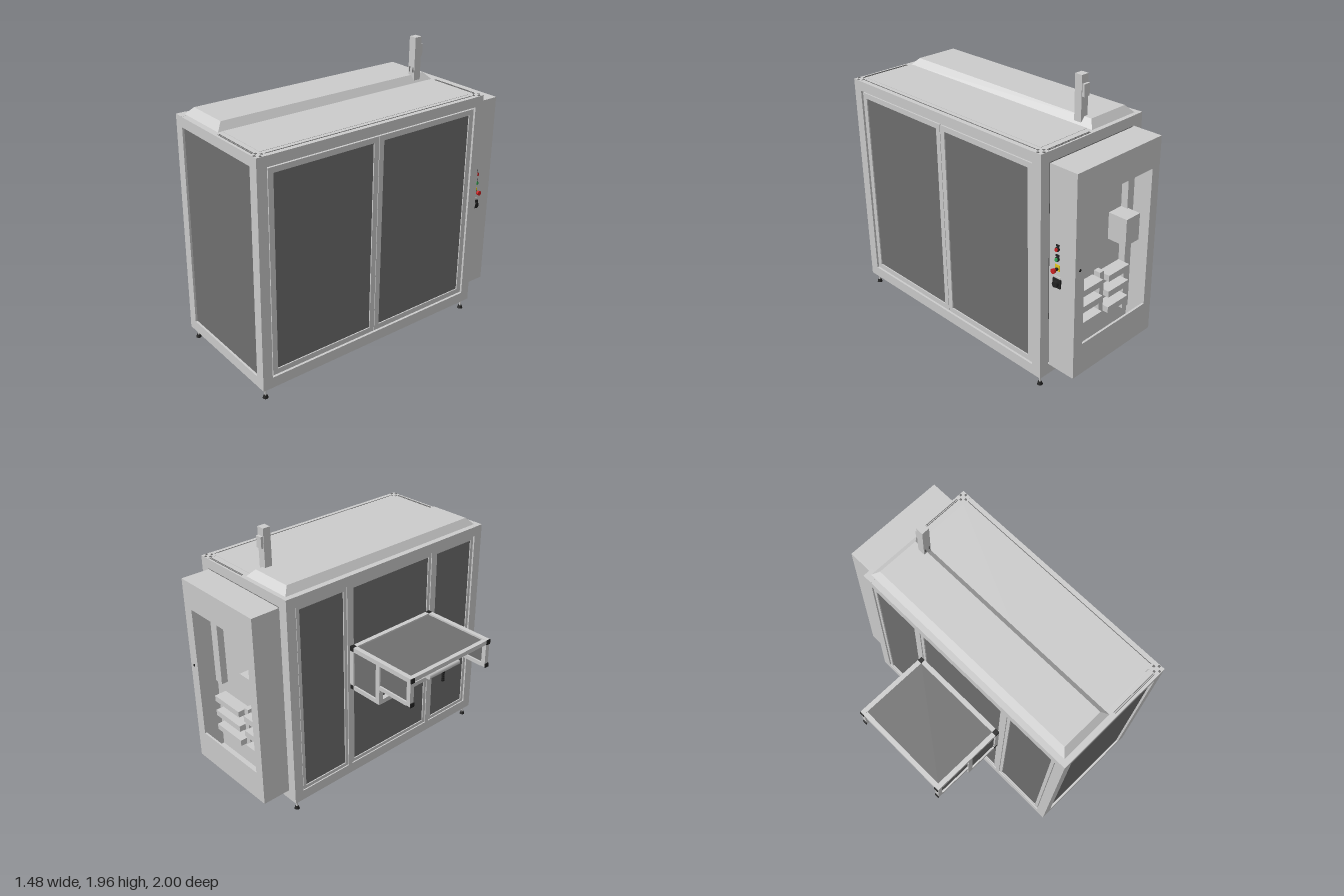
import * as THREE from 'three';

const mat = (c) => new THREE.MeshStandardMaterial({ color: c });
const GREY = mat(0xcccccc), DARK = mat(0x6f6f6f), BLACK = mat(0x222222);
const RED = mat(0xcc2222), GREEN = mat(0x33aa55), YELLOW = mat(0xe6c81e);

// box from its low and high limits on each axis
function box(parent, name, [x0, x1], [y0, y1], [z0, z1], m = GREY) {
  const mesh = new THREE.Mesh(new THREE.BoxGeometry(x1 - x0, y1 - y0, z1 - z0), m);
  mesh.position.set((x0 + x1) / 2, (y0 + y1) / 2, (z0 + z1) / 2);
  mesh.name = name;
  parent.add(mesh);
  return mesh;
}

function cyl(parent, name, r0, r1, h, [x, y, z], axis, m = GREY) {
  const g = new THREE.CylinderGeometry(r0, r1, h, 20);
  if (axis === 'x') g.rotateZ(-Math.PI / 2);
  if (axis === 'z') g.rotateX(Math.PI / 2);
  const mesh = new THREE.Mesh(g, m);
  mesh.position.set(x, y, z);
  mesh.name = name;
  parent.add(mesh);
  return mesh;
}

function group(parent, name) {
  const g = new THREE.Group();
  g.name = name;
  parent.add(g);
  return g;
}

// framed dark panel lying in a plane of constant x
function door(parent, name, x, [y0, y1], [z0, z1], w) {
  const g = group(parent, name), t = [x - 0.012, x + 0.012];
  box(g, 'stile', t, [y0, y1], [z0, z0 + w]);
  box(g, 'stile', t, [y0, y1], [z1 - w, z1]);
  box(g, 'rail', t, [y0, y0 + w], [z0 + w, z1 - w]);
  box(g, 'rail', t, [y1 - w, y1], [z0 + w, z1 - w]);
  box(g, 'panel', [x - 0.004, x + 0.004], [y0 + w, y1 - w], [z0 + w, z1 - w], DARK);
}

function buildHousing(root) {
  const g = group(root, 'housing');
  const X = [[-0.17, -0.1], [0.665, 0.735]], Z = [[-0.79, -0.72], [0.93, 1]];
  const Y = [[0.08, 0.155], [1.575, 1.644]];
  // posts, beams and levelling feet
  for (const x of X) for (const z of Z) {
    box(g, 'cornerPost', x, [0.08, 1.645], z);
    const cx = x[0] < 0 ? -0.135 : 0.7, cz = z[0] < 0 ? -0.755 : 0.965;
    cyl(g, 'footRod', 0.006, 0.006, 0.07, [cx, 0.05, cz]);
    cyl(g, 'footPad', 0.012, 0.019, 0.02, [cx, 0.01, cz], 'y', BLACK);
  }
  for (const y of Y) {
    for (const x of X) box(g, 'sideBeam', x, y, [-0.72, 0.93]);
    for (const z of Z) box(g, 'endBeam', [-0.1, 0.665], y, z);
  }
  // end panels
  box(g, 'frontPanel', [-0.1, 0.665], [0.155, 1.575], [0.975, 0.985], DARK);
  box(g, 'backPanel', [-0.1, 0.665], [0.155, 1.575], [-0.775, -0.765], DARK);
  // two doors on the left, three bays on the right
  door(g, 'sideDoor', 0.715, [0.163, 1.563], [0.105, 0.92], 0.037);
  door(g, 'sideDoor', 0.715, [0.163, 1.563], [-0.712, 0.101], 0.037);
  for (const z of [[-0.712, -0.3], [-0.265, 0.485], [0.52, 0.922]])
    door(g, 'rightBay', -0.152, [0.158, 1.572], z, 0.025);
  for (const z of [-0.2825, 0.5025])
    box(g, 'bayPost', [-0.17, -0.12], [0.155, 1.575], [z - 0.0165, z + 0.0165]);
  // floor panels and lengthwise bearers
  box(g, 'floorPanel', [-0.1, 0.665], [0.105, 0.113], [-0.72, 0.93], DARK);
  box(g, 'floorBearer', [0.2, 0.27], [0.085, 0.105], [-0.72, 0.93]);
  box(g, 'floorBearer', [0.39, 0.405], [0.09, 0.105], [-0.72, 0.93]);
  // roof plate, grooves and post ends
  box(g, 'roofPlate', [-0.1, 0.665], [1.636, 1.646], [-0.72, 0.93]);
  box(g, 'roofGroove', [0.698, 0.702], [1.64, 1.6465], [-0.71, 0.92], DARK);
  for (const z of [-0.775, -0.765, 0.97, 0.98])
    box(g, 'roofGroove', [0.3, 0.66], [1.64, 1.6465], [z - 0.002, z + 0.002], DARK);
  for (const z of [-0.755, 0.965]) for (const a of [0, 1, 2, 3]) {
    const s = box(g, 'postEndSlot', [-0.007, 0.007], [1.64, 1.6475], [-0.007, 0.007], DARK);
    s.position.x = 0.7 + 0.024 * Math.cos(a * Math.PI / 2);
    s.position.z = z + 0.024 * Math.sin(a * Math.PI / 2);
  }
  // chamfered roof hood: a box with its top face drawn in
  const hood = box(g, 'roofHood', [-0.13, 0.27], [1.645, 1.693], [-0.76, 0.96]);
  const p = hood.geometry.attributes.position;
  for (let i = 0; i < p.count; i++) if (p.getY(i) > 0) {
    p.setX(i, p.getX(i) - Math.sign(p.getX(i)) * 0.043);
    p.setZ(i, p.getZ(i) - Math.sign(p.getZ(i)) * 0.045);
  }
  hood.geometry.computeVertexNormals();
  // mast
  box(g, 'mast', [0.2, 0.258], [1.66, 1.96], [-0.66, -0.605]);
  box(g, 'mastBox', [0.205, 0.253], [1.825, 1.905], [-0.677, -0.66]);
  for (const x of [0.212, 0.246])
    box(g, 'mastBolt', [x - 0.005, x + 0.005], [1.715, 1.75], [-0.607, -0.602], DARK);
}

function buildCabinet(root) {
  const g = group(root, 'controlCabinet');
  const x0 = -0.1, x1 = 0.66, y0 = 0.155, y1 = 1.57;
  const rect = (s, a, b, c, d) => s.moveTo(a, c).lineTo(b, c).lineTo(b, d).lineTo(a, d).closePath();
  // back face with a window
  const face = rect(new THREE.Shape(), x0, x1, y0, y1);
  face.holes.push(rect(new THREE.Path(), -0.03, 0.58, 0.38, 1.37));
  const geo = new THREE.ExtrudeGeometry(face, { depth: 0.015, bevelEnabled: false });
  const door = new THREE.Mesh(geo, GREY);
  door.position.z = -1;
  door.name = 'cabinetDoor';
  g.add(door);
  // shell
  const z = [-0.985, -0.79];
  for (const x of [[x0, x0 + 0.01], [x1 - 0.01, x1]]) box(g, 'cabinetSide', x, [y0, y1], z);
  for (const y of [[y0, y0 + 0.01], [y1 - 0.01, y1]]) box(g, 'cabinetCap', [x0 + 0.01, x1 - 0.01], y, z);
  box(g, 'mountingPlate', [x0 + 0.01, x1 - 0.01], [y0 + 0.01, y1 - 0.01], [-0.81, -0.79]);
  cyl(g, 'doorLock', 0.009, 0.009, 0.008, [0.62, 0.93, -1], 'z', BLACK);
  // wiring ducts, drive box and shelf modules
  box(g, 'duct', [0.52, 0.59], [0.76, 1.42], [-0.86, -0.81]);
  box(g, 'duct', [-0.04, 0.02], [0.3, 1.42], [-0.86, -0.81]);
  box(g, 'duct', [-0.04, 0.59], [1.38, 1.43], [-0.86, -0.81]);
  box(g, 'driveBox', [0.01, 0.14], [0.87, 1.06], [-0.955, -0.81]);
  for (const y of [0.38, 0.5, 0.62]) {
    box(g, 'shelfModule', [0.28, 0.56], [y, y + 0.045], [-0.9, -0.81]);
    box(g, 'shelfModule', [0.02, 0.22], [y, y + 0.045], [-0.9, -0.81]);
  }
  box(g, 'duct', [0.225, 0.265], [0.34, 0.69], [-0.86, -0.81]);
  // operator controls on the left wall
  const cz = -0.86;
  for (const [y, m] of [[1.035, RED], [0.967, GREEN]]) {
    cyl(g, 'buttonRing', 0.015, 0.015, 0.012, [x1 + 0.006, y, cz], 'x', BLACK);
    cyl(g, 'button', 0.011, 0.011, 0.02, [x1 + 0.01, y, cz], 'x', m);
    box(g, 'buttonLabel', [x1, x1 + 0.006], [y + 0.016, y + 0.03], [cz - 0.013, cz + 0.013], BLACK);
  }
  box(g, 'stopPlate', [x1, x1 + 0.005], [0.885, 0.927], [cz - 0.018, cz + 0.018], YELLOW);
  cyl(g, 'stopStem', 0.01, 0.01, 0.03, [x1 + 0.015, 0.9, cz], 'x', BLACK);
  cyl(g, 'stopButton', 0.017, 0.014, 0.018, [x1 + 0.037, 0.9, cz], 'x', RED);
  box(g, 'mainSwitch', [x1, x1 + 0.012], [0.77, 0.83], [cz - 0.03, cz + 0.03], BLACK);
  box(g, 'switchLabel', [x1, x1 + 0.005], [0.832, 0.845], [cz - 0.025, cz + 0.025]);
  cyl(g, 'switchKnob', 0.02, 0.022, 0.02, [x1 + 0.02, 0.8, cz], 'x', BLACK);
}

function buildTable(root) {
  const g = group(root, 'infeedTable');
  const w = 0.033, Z = [[-0.28, -0.28 + w], [0.475 - w, 0.475]], inner = [-0.28 + w, 0.475 - w];
  for (const z of Z) {
    // stepped side frame
    box(g, 'topRail', [-0.735, -0.205], [1.1, 1.133], z);
    box(g, 'outerPost', [-0.735, -0.703], [0.925, 1.1], z);
    box(g, 'upperRail', [-0.703, -0.455], [0.92, 0.95], z);
    box(g, 'middlePost', [-0.455, -0.42], [0.835, 1.1], z);
    box(g, 'lowerRail', [-0.455, -0.205], [0.803, 0.835], z);
    box(g, 'wallPost', [-0.203, -0.17], [0.835, 1.1], z);
    const c = (z[0] + z[1]) / 2, t = [c - 0.004, c + 0.004];
    box(g, 'sidePanel', [-0.703, -0.455], [0.95, 1.1], t, DARK);
    box(g, 'sidePanel', [-0.42, -0.203], [0.835, 1.1], t, DARK);
    // black end caps
    for (const y of [[1.1, 1.133], [0.803, 0.835]]) box(g, 'endCap', [-0.205, -0.17], y, z, BLACK);
    for (const y of [[1.1, 1.133], [0.92, 0.95]]) box(g, 'endCap', [-0.742, -0.735], y, z, BLACK);
  }
  // cross rails and table top
  box(g, 'crossRail', [-0.735, -0.703], [1.1, 1.131], inner);
  box(g, 'crossRail', [-0.203, -0.17], [1.1, 1.131], inner);
  box(g, 'crossRail', [-0.203, -0.17], [0.803, 0.835], inner);
  box(g, 'crossRail', [-0.455, -0.42], [0.803, 0.835], inner);
  box(g, 'tableTop', [-0.703, -0.203], [1.112, 1.12], inner, DARK);
  // arm and hanging chain under the table
  box(g, 'arm', [-0.535, -0.455], [0.88, 0.918], [0.1, 0.4]);
  cyl(g, 'armNose', 0.019, 0.019, 0.3, [-0.535, 0.899, 0.25], 'z');
  for (let i = 0; i < 5; i++)
    box(g, 'chainLink', [-0.541, -0.529], [0.803 + i * 0.016, 0.815 + i * 0.016], [0.24, 0.26], BLACK);
}

export function createModel() {
  const root = new THREE.Group();
  root.name = 'enclosedMachine';
  buildHousing(root);
  buildCabinet(root);
  buildTable(root);
  return root;
}
